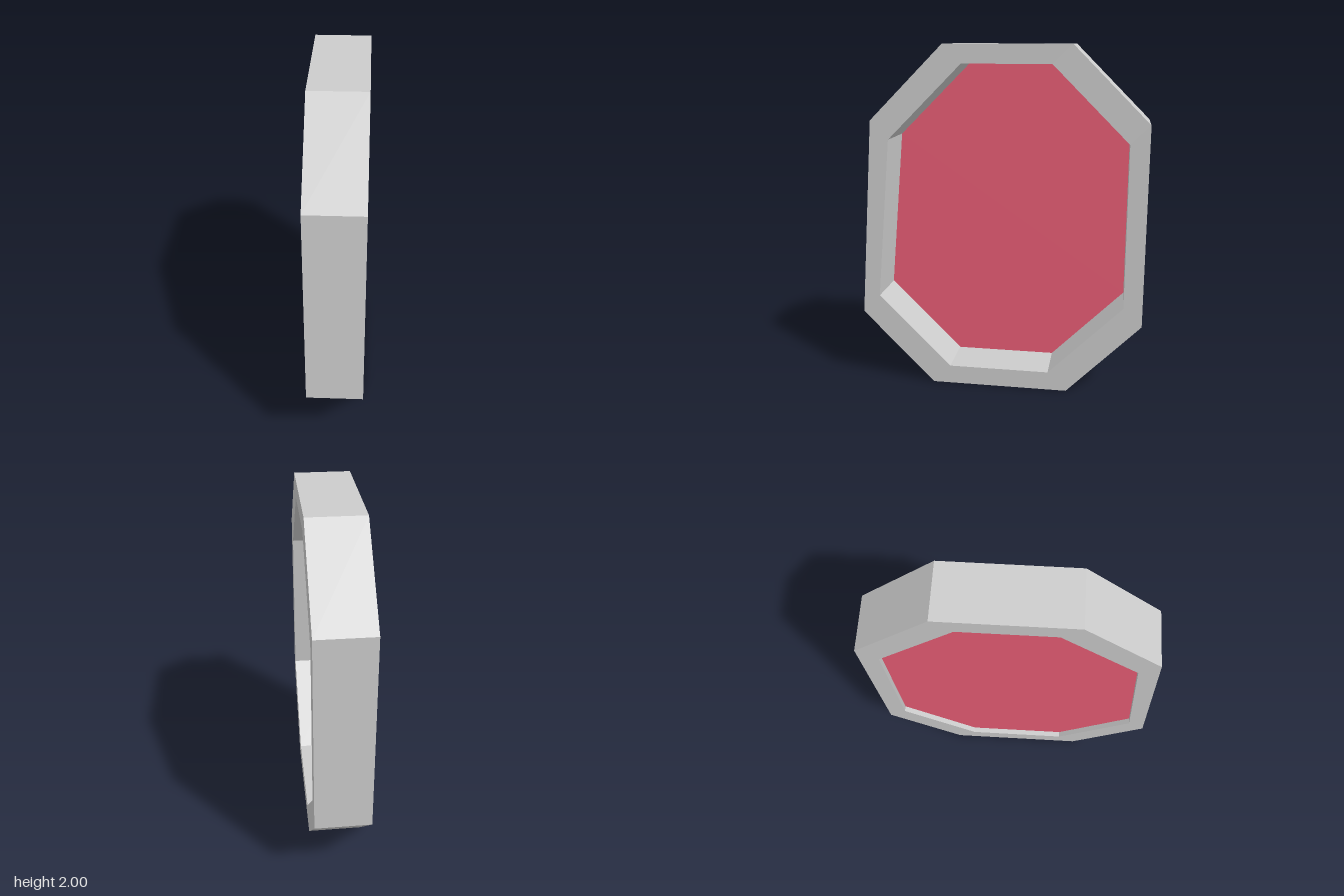
import * as THREE from 'three';

const WIDTH = 0.31;      // frame thickness along x
const PANEL_X = -0.123;  // panel sits close to the -x rim

// Octagon outlines as [z, y]
const OUTER = [[0.4, 0], [-0.4, 0], [-0.824, 0.43], [-0.824, 1.578],
  [-0.4, 2], [0.312, 2], [0.737, 1.578], [0.824, 0.43]];
const INNER = [[0.297, 0.11], [-0.291, 0.11], [-0.717, 0.535], [-0.717, 1.471],
  [-0.291, 1.895], [0.208, 1.895], [0.635, 1.471], [0.722, 0.535]];

// Shapes are drawn with -z as their horizontal axis, then turned to face +x
const toPoints = (outline) => outline.map(([z, y]) => new THREE.Vector2(-z, y));

export function createModel() {
  const group = new THREE.Group();
  group.name = 'octagonalWindow';

  // Deep frame with an octagonal opening
  const frameShape = new THREE.Shape(toPoints(OUTER));
  frameShape.holes.push(new THREE.Path(toPoints(INNER)));
  const frameGeometry = new THREE.ExtrudeGeometry(frameShape, { depth: WIDTH, bevelEnabled: false })
    .translate(0, 0, -WIDTH / 2)
    .rotateY(Math.PI / 2);
  const frame = new THREE.Mesh(frameGeometry,
    new THREE.MeshStandardMaterial({ color: 0xcccccc, flatShading: true }));
  frame.name = 'frame';

  // Thin coloured pane filling the opening
  const paneGeometry = new THREE.ShapeGeometry(new THREE.Shape(toPoints(INNER)))
    .rotateY(Math.PI / 2)
    .translate(PANEL_X, 0, 0);
  const pane = new THREE.Mesh(paneGeometry,
    new THREE.MeshStandardMaterial({ color: 0xe85d75, side: THREE.DoubleSide }));
  pane.name = 'pane';

  group.add(frame, pane);
  return group;
}
